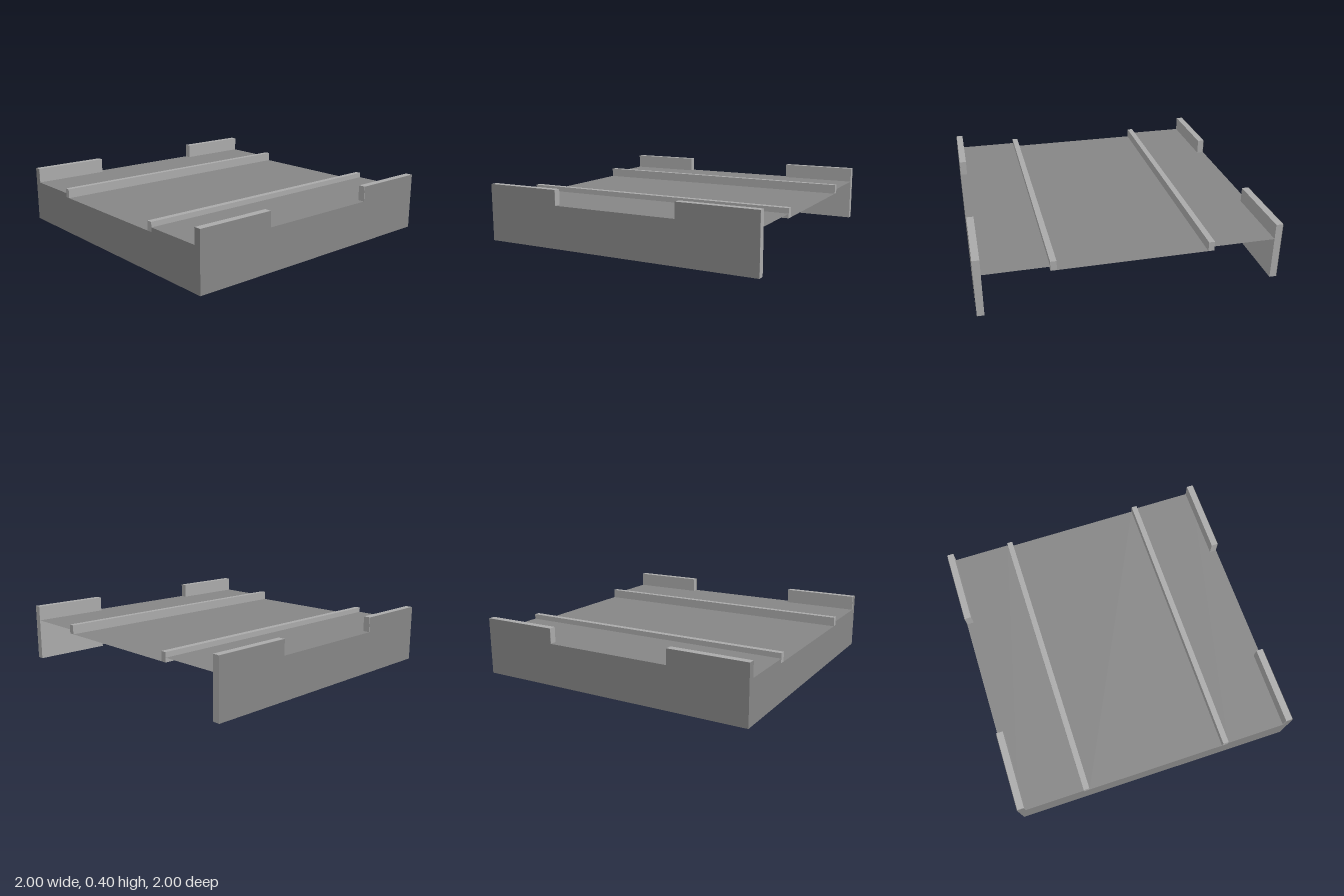
import * as THREE from 'three';

const darkGrey = new THREE.MeshStandardMaterial({ color: 0x868686, side: THREE.DoubleSide });
darkGrey.name = 'dark grey panel';
const lightGrey = new THREE.MeshStandardMaterial({ color: 0xaaaaaa });
lightGrey.name = 'light grey trim';

const STEP = 0.295;  // outer deck height
const MID = 0.265;   // middle deck height
const TOP = 0.4;     // post height
const GAP = 0.003;   // keeps trim just behind the panels

export function createModel() {
  const group = new THREE.Group();

  const add = (name, geometry, material) => {
    const mesh = new THREE.Mesh(geometry, material);
    mesh.name = name;
    group.add(mesh);
    return mesh;
  };
  const panel = (points) =>
    new THREE.ShapeGeometry(new THREE.Shape(points.map(([x, y]) => new THREE.Vector2(x, y))));
  const box = (name, x0, x1, y0, y1, z0, z1) =>
    add(name, new THREE.BoxGeometry(x1 - x0, y1 - y0, z1 - z0), lightGrey)
      .position.set((x0 + x1) / 2, (y0 + y1) / 2, (z0 + z1) / 2);
  const deck = (name, x0, x1, y) =>
    add(name, new THREE.PlaneGeometry(x1 - x0, 2).rotateX(-Math.PI / 2), darkGrey)
      .position.set((x0 + x1) / 2, y, 0);

  // Decking: two outer strips and a slightly lower middle
  deck('rightDeck', -1, -0.535, STEP);
  deck('middleDeck', -0.495, 0.49, MID);
  deck('leftDeck', 0.53, 1, STEP);

  // Stepped front wall; the back stays open
  add('frontWall', panel([
    [-1, 0], [1, 0], [1, TOP], [0.95, TOP], [0.95, STEP], [0.53, STEP], [0.53, MID],
    [-0.535, MID], [-0.535, STEP], [-0.95, STEP], [-0.95, TOP], [-1, TOP],
  ]), darkGrey).position.z = 1;

  // Side walls with a low middle, and corner posts behind them
  for (const [side, s] of [['right', -1], ['left', 1]]) {
    const wall = panel([
      [-1, 0], [1, 0], [1, TOP], [0.45, TOP], [0.45, STEP], [-0.45, STEP], [-0.45, TOP], [-1, TOP],
    ]).rotateY(s * Math.PI / 2);
    add(side + 'SideWall', wall, darkGrey).position.x = s;

    const x0 = s > 0 ? 0.95 : -1 + GAP;
    const x1 = s > 0 ? 1 - GAP : -0.95;
    box(side + 'FrontPost', x0, x1, 0, TOP, 0.45, 1 - GAP);
    box(side + 'BackPost', x0, x1, 0, TOP, -1, -0.45);
  }

  // Long rails along the deck
  box('rightRail', -0.535, -0.495, MID, 0.33, -1, 1);
  box('leftRail', 0.49, 0.53, MID, 0.33, -1, 1);

  return group;
}
